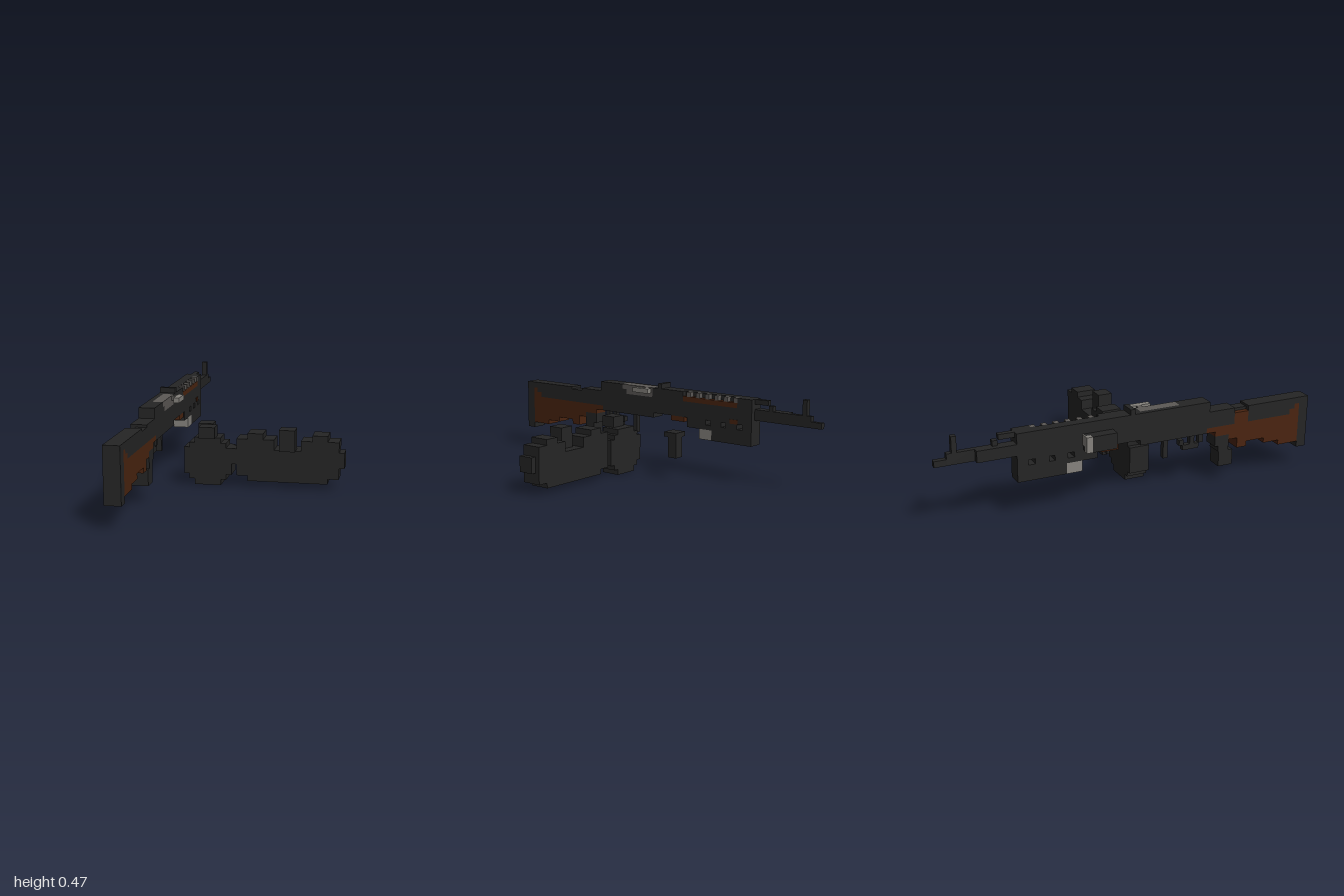
import * as THREE from 'three';

const paint = (name, color) => {
  const m = new THREE.MeshStandardMaterial({ color });
  m.name = name;
  return m;
};

export function createModel() {
  const model = new THREE.Group();
  const dark = paint('black metal', 0x252525);
  const wood = paint('brown wood', 0x4a2410);
  const steel = paint('grey steel', 0x5c5956);
  const bright = paint('light steel', 0x85827d);

  // Block between two limits on each axis
  function block(name, mat, [x0, x1], [y0, y1], [z0, z1]) {
    const mesh = new THREE.Mesh(new THREE.BoxGeometry(x1 - x0, y1 - y0, z1 - z0), mat);
    mesh.name = name;
    mesh.position.set((x0 + x1) / 2, (y0 + y1) / 2, (z0 + z1) / 2);
    model.add(mesh);
  }
  // Row of blocks sharing one width, each given as [z0, z1, y0, y1]
  const blocks = (name, mat, x, list) =>
    list.forEach(([z0, z1, y0, y1]) => block(name, mat, x, [y0, y1], [z0, z1]));

  const full = [-0.472, -0.39];
  const mid = [-0.445, -0.418];
  const inner = [-0.472, -0.418];
  const outer = [-0.418, -0.39];

  // Stock
  blocks('buttPlate', dark, full, [[0.947, 1, 0.115, 0.393]]);
  blocks('stockTop', dark, full, [
    [0.64, 0.947, 0.36, 0.393], [0.64, 0.92, 0.335, 0.36], [0.64, 0.89, 0.307, 0.335],
    [0.415, 0.56, 0.307, 0.393],
  ]);
  block('stockNotch', dark, [-0.445, -0.39], [0.307, 0.38], [0.56, 0.64]);
  block('stockNotchWood', wood, [-0.472, -0.445], [0.307, 0.366], [0.56, 0.64]);
  blocks('stockWood', wood, full, [
    [0.92, 0.947, 0.307, 0.36], [0.89, 0.92, 0.307, 0.335],
    [0.83, 0.947, 0.147, 0.307], [0.74, 0.83, 0.173, 0.307], [0.635, 0.74, 0.2, 0.307],
    [0.58, 0.635, 0.173, 0.307], [0.53, 0.58, 0.227, 0.307],
    [0.45, 0.53, 0.255, 0.307], [0.4, 0.45, 0.28, 0.307],
  ]);

  // Pistol grip and trigger group
  blocks('pistolGrip', dark, full, [
    [0.475, 0.555, 0.088, 0.17], [0.47, 0.53, 0.17, 0.2], [0.45, 0.53, 0.2, 0.255],
  ]);
  blocks('triggerGuard', dark, mid, [
    [0.37, 0.395, 0.227, 0.28], [0.28, 0.37, 0.2, 0.227], [0.26, 0.285, 0.227, 0.255],
    [0.32, 0.345, 0.227, 0.28],
  ]);
  blocks('magazineCatch', dark, mid, [[0.17, 0.195, 0.175, 0.28]]);

  // Receiver
  blocks('receiver', dark, full, [
    [-0.17, 0.415, 0.307, 0.393], [0.255, 0.415, 0.393, 0.446],
    [-0.17, 0.04, 0.393, 0.446], [0.03, 0.4, 0.28, 0.307],
  ]);
  block('receiverSide', dark, [-0.472, -0.445], [0.393, 0.446], [0.04, 0.255]);
  blocks('bolt', steel, [-0.445, -0.39], [[0.04, 0.225, 0.393, 0.446], [0.225, 0.255, 0.42, 0.446]]);
  blocks('boltCorner', dark, [-0.445, -0.39], [[0.225, 0.255, 0.393, 0.42]]);
  blocks('chargingStem', steel, [-0.39, -0.365], [[0.055, 0.08, 0.42, 0.446]]);
  blocks('chargingKnob', bright, [-0.365, -0.335], [[0.03, 0.135, 0.42, 0.446]]);
  blocks('rearSight', dark, full, [[-0.025, 0, 0.446, 0.473]]);

  // Handguard with wooden strip and a row of teeth
  blocks('handguard', dark, full, [[-0.61, -0.17, 0.307, 0.393]]);
  blocks('handguardTop', dark, inner, [[-0.61, -0.17, 0.393, 0.446]]);
  blocks('handguardEnd', dark, outer, [[-0.61, -0.52, 0.393, 0.446]]);
  blocks('handguardWood', wood, outer, [[-0.52, -0.17, 0.393, 0.42]]);
  for (let i = 0; i < 6; i++) {
    const z = -0.195 - i * 0.06;
    blocks('coolingTooth', steel, outer, [[z - 0.025, z, 0.42, 0.446]]);
  }
  blocks('lowerWood', wood, full, [[-0.18, -0.09, 0.28, 0.307]]);
  block('sideWood', wood, [-0.39, -0.387], [0.307, 0.33], [-0.525, -0.475]);

  // Underbarrel unit hung on posts
  blocks('underbarrelUnit', dark, full, [[-0.61, -0.36, 0.2, 0.28], [-0.36, -0.2, 0.255, 0.28]]);
  blocks('underbarrelSleeve', bright, full, [[-0.36, -0.28, 0.2, 0.255]]);
  blocks('underbarrelPost', dark, full, [
    [-0.32, -0.2, 0.28, 0.307], [-0.42, -0.355, 0.28, 0.307],
    [-0.52, -0.45, 0.28, 0.307], [-0.61, -0.555, 0.28, 0.307],
  ]);

  // Barrel, gas tube and front sight
  blocks('barrel', dark, inner, [[-0.805, -0.61, 0.335, 0.393]]);
  blocks('gasTube', dark, mid, [[-0.69, -0.61, 0.42, 0.446], [-0.72, -0.695, 0.393, 0.42]]);
  blocks('muzzle', dark, mid, [[-0.94, -0.805, 0.335, 0.393], [-1, -0.94, 0.335, 0.366]]);
  blocks('frontSight', dark, mid, [[-0.915, -0.89, 0.393, 0.473]]);

  // Side lamp
  block('sideLamp', dark, [-0.525, -0.472], [0.31, 0.39], [-0.25, -0.12]);
  block('lampRim', dark, [-0.498, -0.472], [0.31, 0.39], [-0.275, -0.25]);
  block('lampLens', bright, [-0.525, -0.498], [0.31, 0.39], [-0.28, -0.25]);
  block('lampFace', bright, [-0.498, -0.472], [0.335, 0.39], [-0.28, -0.275]);

  // Loose foregrip
  block('foregripPlate', dark, [-0.305, -0.225], [0.225, 0.25], [-0.25, -0.17]);
  block('foregripStem', dark, [-0.28, -0.225], [0.115, 0.225], [-0.25, -0.197]);

  // Round and double magazines, stacked in rows of [x0, x1, y0, y1]
  const rows = (name, z, list) =>
    list.forEach(([x0, x1, y0, y1]) => block(name, dark, [x0, x1], [y0, y1], z));
  const depth = [0.055, 0.162];
  rows('roundMagazine', depth, [
    [-0.25, -0.113, 0, 0.03], [-0.278, -0.085, 0.03, 0.057], [-0.305, -0.057, 0.057, 0.197],
    [-0.278, -0.085, 0.197, 0.222], [-0.25, -0.113, 0.222, 0.25],
  ]);
  rows('doubleMagazine', depth, [
    [0.027, 0.44, 0.03, 0.057], [-0.03, 0.497, 0.057, 0.197],
    [-0.03, 0.165, 0.197, 0.25], [0.303, 0.497, 0.197, 0.25],
    [0.027, 0.108, 0.25, 0.28], [0.36, 0.44, 0.25, 0.28],
  ]);
  rows('magazineEdge', [0.08, 0.162], [[0.497, 0.525, 0.115, 0.197], [-0.057, -0.03, 0.115, 0.197]]);
  rows('magazineNeck', [0.108, 0.187], [[-0.222, -0.14, 0.25, 0.308], [0.193, 0.275, 0.197, 0.308]]);

  return model;
}
